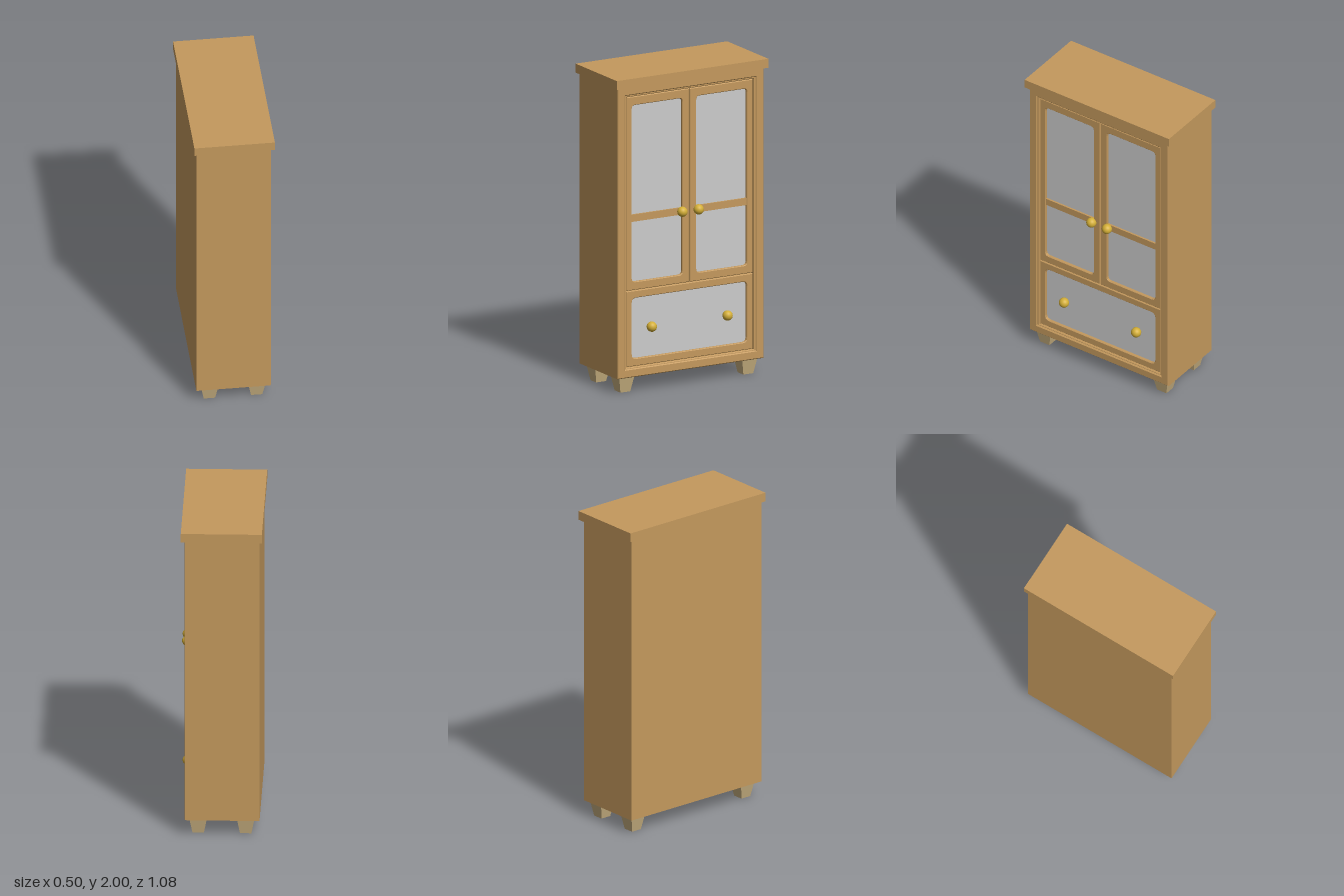
import * as THREE from 'three';

const wood = new THREE.MeshStandardMaterial({ color: 0xc4995d });
const paleWood = new THREE.MeshStandardMaterial({ color: 0xc8b080, flatShading: true });
const brass = new THREE.MeshStandardMaterial({ color: 0xd4af37 });
const pane = new THREE.MeshStandardMaterial({ color: 0xcccccc });

function add(parent, name, geometry, material, x = 0, y = 0, z = 0) {
  const mesh = new THREE.Mesh(geometry, material);
  mesh.name = name;
  mesh.position.set(x, y, z);
  parent.add(mesh);
  return mesh;
}

// Box given by its limits on each axis
function block(parent, name, material, [x0, x1], [y0, y1], [z0, z1]) {
  return add(parent, name, new THREE.BoxGeometry(x1 - x0, y1 - y0, z1 - z0), material,
    (x0 + x1) / 2, (y0 + y1) / 2, (z0 + z1) / 2);
}

// Rectangle outline with optional rounded corners
function rect(path, [x0, x1], [y0, y1], r = 0) {
  if (!r) {
    path.moveTo(x0, y0).lineTo(x1, y0).lineTo(x1, y1).lineTo(x0, y1);
  } else {
    path.moveTo(x0 + r, y0).lineTo(x1 - r, y0).quadraticCurveTo(x1, y0, x1, y0 + r);
    path.lineTo(x1, y1 - r).quadraticCurveTo(x1, y1, x1 - r, y1);
    path.lineTo(x0 + r, y1).quadraticCurveTo(x0, y1, x0, y1 - r);
    path.lineTo(x0, y0 + r).quadraticCurveTo(x0, y0, x0 + r, y0);
  }
  path.closePath();
  return path;
}

// Bevelled frame with one opening, between depths z0 and z1
function frame(parent, name, outer, inner, [z0, z1], bevel, radius) {
  const shape = rect(new THREE.Shape(), ...outer);
  shape.holes.push(rect(new THREE.Path(), ...inner, radius));
  const geometry = new THREE.ExtrudeGeometry(shape, {
    depth: z1 - z0 - 2 * bevel, bevelThickness: bevel, bevelSize: bevel,
    bevelOffset: -bevel, bevelSegments: 1, curveSegments: 3,
  });
  return add(parent, name, geometry, wood, 0, 0, z0 + bevel);
}

// Round knob on a short neck
function knob(parent, x, y, z) {
  const group = new THREE.Group();
  group.name = 'knob';
  group.position.set(x, y, z);
  add(group, 'knobBall', new THREE.SphereGeometry(0.032, 20, 14), brass);
  add(group, 'knobNeck', new THREE.CylinderGeometry(0.02, 0.024, 0.03, 16), brass, 0, 0, -0.025)
    .rotation.x = Math.PI / 2;
  parent.add(group);
}

export function createModel() {
  const model = new THREE.Group();
  model.name = 'cabinet';
  // Built with the doors toward local +z, then turned toward +x
  const cabinet = new THREE.Group();
  cabinet.name = 'cabinetBody';
  cabinet.rotation.y = Math.PI / 2;
  model.add(cabinet);

  // Carcass and top board
  block(cabinet, 'carcass', wood, [-0.52, 0.52], [0.1, 1.945], [-0.24, 0.178]);
  block(cabinet, 'topBoard', wood, [-0.54, 0.54], [1.943, 2], [-0.255, 0.243]);

  // Face frame with an inner moulding step
  frame(cabinet, 'faceFrame', [[-0.52, 0.52], [0.1, 1.943]],
    [[-0.465, 0.465], [0.155, 1.89]], [0.17, 0.222], 0.006);
  frame(cabinet, 'innerMoulding', [[-0.47, 0.47], [0.15, 1.895]],
    [[-0.453, 0.453], [0.162, 1.878]], [0.17, 0.212], 0.004);

  // Pair of doors
  for (const s of [-1, 1]) {
    const span = (a, b) => (s > 0 ? [a, b] : [-b, -a]);
    const door = new THREE.Group();
    door.name = s > 0 ? 'rightDoor' : 'leftDoor';
    frame(door, 'doorFrame', [span(0.002, 0.45), [0.648, 1.875]],
      [span(0.05, 0.41), [0.7, 1.82]], [0.17, 0.206], 0.004, 0.024);
    block(door, 'doorPane', pane, span(0.04, 0.42), [0.69, 1.83], [0.172, 0.188]);
    block(door, 'doorRail', wood, span(0.045, 0.415), [1.08, 1.125], [0.172, 0.2]);
    knob(door, s * 0.058, 1.103, 0.218);
    cabinet.add(door);
  }

  // Drawer
  const drawer = new THREE.Group();
  drawer.name = 'drawer';
  frame(drawer, 'drawerFrame', [[-0.45, 0.45], [0.165, 0.644]],
    [[-0.41, 0.41], [0.213, 0.597]], [0.17, 0.206], 0.004, 0.03);
  block(drawer, 'drawerPanel', pane, [-0.42, 0.42], [0.2, 0.61], [0.172, 0.188]);
  for (const s of [-1, 1]) knob(drawer, s * 0.27, 0.4, 0.208);
  cabinet.add(drawer);

  // Tapered square feet
  const foot = new THREE.CylinderGeometry(0.054 * Math.SQRT2, 0.035 * Math.SQRT2, 0.1, 4);
  foot.rotateY(Math.PI / 4);
  for (const x of [-0.438, 0.438])
    for (const z of [-0.154, 0.138]) add(cabinet, 'foot', foot, paleWood, x, 0.05, z);

  return model;
}
